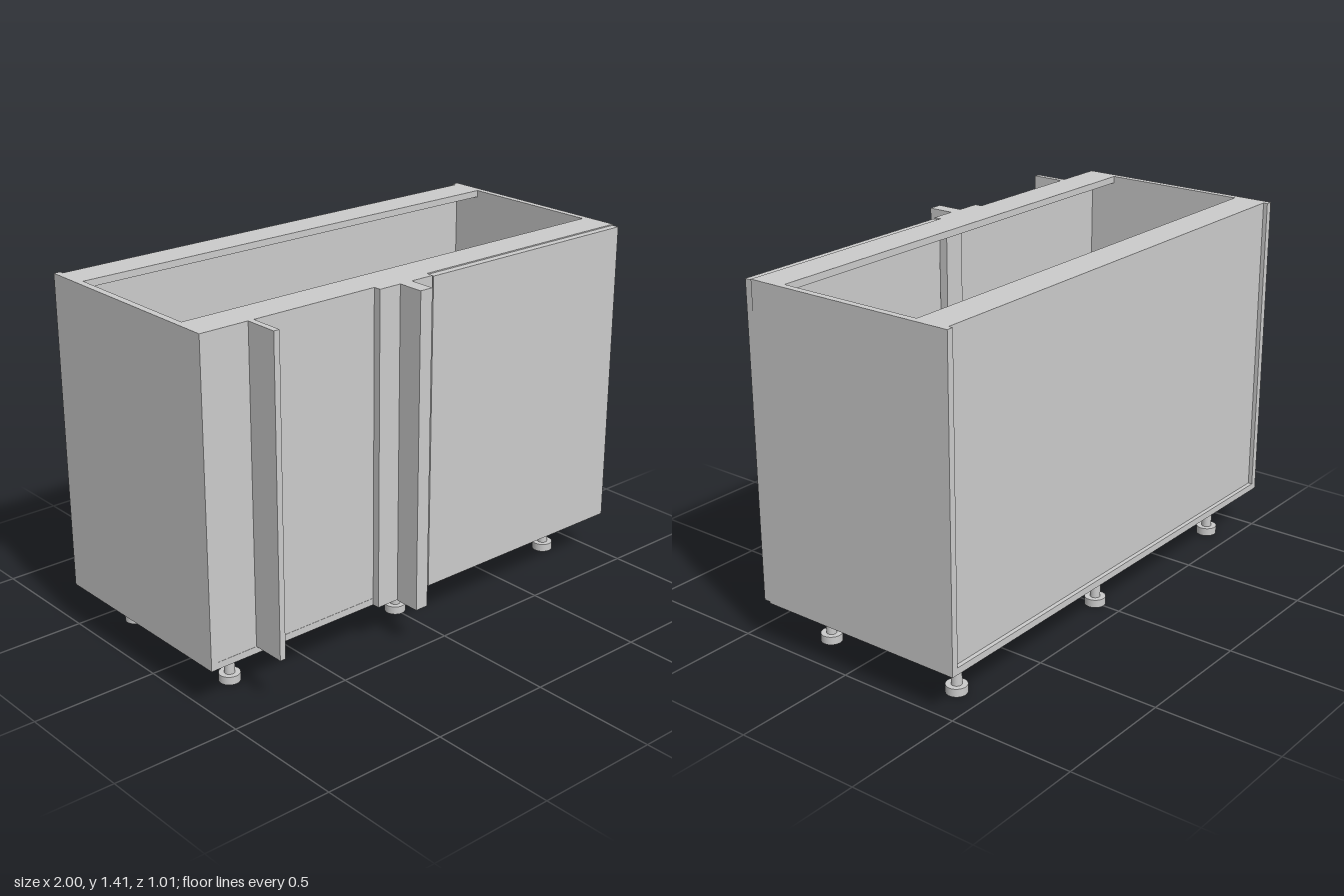
import * as THREE from 'three';

const grey = new THREE.MeshStandardMaterial({ color: 0xcccccc });

// Box given by its limits along each axis
function panel(name, [x0, x1], [y0, y1], [z0, z1]) {
  const mesh = new THREE.Mesh(new THREE.BoxGeometry(x1 - x0, y1 - y0, z1 - z0), grey);
  mesh.position.set((x0 + x1) / 2, (y0 + y1) / 2, (z0 + z1) / 2);
  mesh.name = name;
  return mesh;
}

// Adjustable leg: wide foot, thin stem, wide mounting cap
function leg(x, z) {
  const group = new THREE.Group();
  group.name = 'leg';
  const parts = [
    ['foot', 0.041, 0, 0.032],
    ['stem', 0.02, 0.032, 0.139],
    ['mountingCap', 0.041, 0.139, 0.17],
  ];
  for (const [name, r, y0, y1] of parts) {
    const mesh = new THREE.Mesh(new THREE.CylinderGeometry(r, r, y1 - y0, 32), grey);
    mesh.position.y = (y0 + y1) / 2;
    mesh.name = name;
    group.add(mesh);
  }
  group.position.set(x, 0, z);
  return group;
}

export function createModel() {
  const model = new THREE.Group();
  model.name = 'cornerBaseCabinet';
  const bottom = 0.17, top = 1.413, t = 0.027;
  const back = -0.505, front = 0.37;
  const inner = [-1 + t, 1 - t];

  // Carcass: sides, floor, recessed back and two top rails
  model.add(
    panel('rightSide', [-1, -1 + t], [bottom, top], [back, front]),
    panel('leftSide', [1 - t, 1], [bottom, top], [back, front]),
    panel('floor', inner, [bottom, bottom + t], [back, front]),
    panel('backPanel', inner, [bottom + t, top - t], [-0.488, -0.478]),
    panel('backRail', inner, [top - t, top], [-0.488, -0.355]),
    panel('frontRail', inner, [top - t, top], [0.235, front]),
  );

  // Fixed blind front and the stile beside the door opening
  model.add(
    panel('blindPanel', [-1 + t, -0.09], [bottom + t, top - t], [0.345, front - 0.001]),
    panel('stile', [-0.09, 0], [bottom + t, top - t], [0.34, front]),
  );

  // Corner fillers standing out from the front
  model.add(
    panel('endFiller', [-0.802, -0.778], [bottom + t, top], [front, 0.505]),
    panel('cornerFiller', [-0.25, 0], [bottom, top], [front, 0.4]),
    panel('cornerPost', [-0.155, -0.1], [bottom - 0.003, top], [0.4, 0.505]),
  );

  // Door
  model.add(panel('door', [0.005, 0.997], [bottom + 0.004, top - 0.004], [front + 0.001, 0.4]));

  // Legs in two rows
  for (const x of [-0.813, 0, 0.84])
    for (const z of [0.218, -0.387]) model.add(leg(x, z));

  return model;
}
